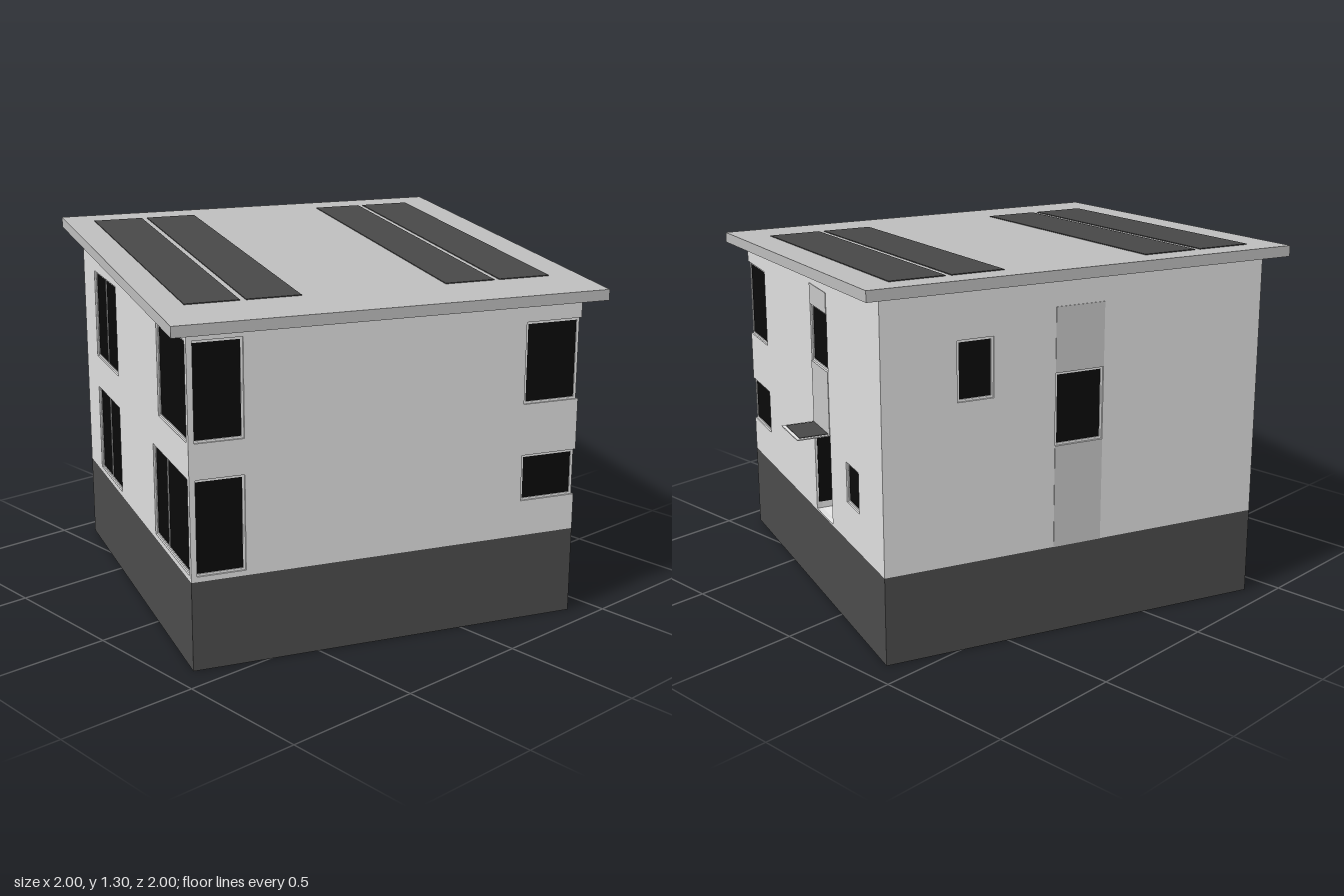
import * as THREE from 'three';

const mat = (name, color) => Object.assign(new THREE.MeshStandardMaterial({ color }), { name });
const M = {
  wall: mat('wall plaster', 0xe0e0e0),
  strip: mat('accent strip', 0xc8c8c8),
  roof: mat('roof grey', 0xbebebe),
  base: mat('plinth grey', 0x4c4c4c),
  panel: mat('solar panel', 0x484848),
  glass: mat('window glass', 0x0a0a0a),
  frame: mat('window frame', 0xf8f8f8),
};
const H = 0.708;              // half width of the walls
const R = 0.773;              // half width of the roof
const SLOPE = 0.105 / (2 * R);
const BASE = 0.315;
const underside = z => 1.2075 - SLOPE * z;

function add(parent, name, geo, material, x = 0, y = 0, z = 0) {
  const m = new THREE.Mesh(geo, material);
  m.name = name;
  m.position.set(x, y, z);
  parent.add(m);
  return m;
}

// box given by its minimum and maximum corners
function box(parent, name, material, x0, x1, y0, y1, z0, z1) {
  return add(parent, name, new THREE.BoxGeometry(x1 - x0, y1 - y0, z1 - z0), material,
    (x0 + x1) / 2, (y0 + y1) / 2, (z0 + z1) / 2);
}

const points = list => list.map(([x, y]) => new THREE.Vector2(x, y));
const rect = ([a, b, c, d]) => points([[a, c], [b, c], [b, d], [a, d]]);

// slab that follows the roof pitch
function pitched(parent, name, material, x0, x1, z0, z1, lift, thick) {
  const g = new THREE.BoxGeometry(x1 - x0, thick, z1 - z0);
  g.translate((x0 + x1) / 2, lift + thick / 2, (z0 + z1) / 2);
  const p = g.attributes.position;
  for (let i = 0; i < p.count; i++) p.setY(i, p.getY(i) + underside(p.getZ(i)));
  g.computeVertexNormals();
  add(parent, name, g, material);
}

// recessed window: [u0, u1, y0, y1, optional mullion u]
function windowUnit(wall, w) {
  const [u0, u1, y0, y1, mullion] = w;
  const s = new THREE.Shape(rect(w));
  const t = 0.008;
  s.holes.push(new THREE.Path(rect([u0 + t, u1 - t, y0 + t, y1 - t])));
  const g = new THREE.ExtrudeGeometry(s, { depth: 0.01, bevelEnabled: false });
  add(wall, 'windowFrame', g, M.frame, 0, 0, -0.016);
  box(wall, 'windowGlass', M.glass, u0 + t, u1 - t, y0 + t, y1 - t, -0.016, -0.009);
  if (mullion !== undefined) {
    box(wall, 'windowMullion', M.frame, mullion - 0.004, mullion + 0.004, y0 + t, y1 - t, -0.012, -0.006);
  }
}

// one wall: u runs to the right as seen from outside, z points outward
function makeWall(house, name, angle, topL, topR, { windows = [], holes = [], corner = [], side = 1 }) {
  const wall = new THREE.Group();
  wall.name = name;
  wall.rotation.y = angle;
  wall.position.set(Math.sin(angle) * H, 0, Math.cos(angle) * H);
  house.add(wall);

  // outline, with notches where windows wrap around a corner
  const right = [[H, BASE]], left = [[-H, topL]];
  for (const [w, y0, y1] of corner) {
    if (side > 0) right.push([H, y0], [H - w, y0], [H - w, y1], [H, y1]);
    else left.splice(1, 0, [-H, y1], [w - H, y1], [w - H, y0], [-H, y0]);
  }
  right.push([H, topR]);
  left.push([-H, BASE]);
  const shape = new THREE.Shape(points([...right, ...left]));
  for (const h of [...windows, ...holes]) shape.holes.push(new THREE.Path(rect(h)));
  add(wall, name + 'Panel', new THREE.ExtrudeGeometry(shape, { depth: 0.02, bevelEnabled: false }), M.wall, 0, 0, -0.02);

  windows.forEach(w => windowUnit(wall, w));
  for (const [w, y0, y1] of corner) {
    windowUnit(wall, side > 0 ? [H - w, H - 0.006, y0, y1] : [0.006 - H, w - H, y0, y1]);
  }
  return wall;
}

export function createModel() {
  const model = new THREE.Group();
  model.name = 'house';
  const house = new THREE.Group();
  house.name = 'houseBody';
  house.rotation.y = -0.371;
  model.add(house);

  box(house, 'plinth', M.base, -H, H, 0, BASE, -H, H);

  // roof and its solar panels
  pitched(house, 'roof', M.roof, -R, R, -R, R, 0, 0.038);
  for (const [a, b] of [[-0.667, -0.478], [-0.457, -0.264], [0.26, 0.445], [0.465, 0.658]]) {
    pitched(house, 'solarPanel', M.panel, a, b, -0.668, 0.556, 0.038, 0.003);
  }

  // walls
  const low = underside(H), high = underside(-H);
  const corner = [[0.212, 0.445, 0.612], [0.212, 0.797, 1.087]];
  makeWall(house, 'frontWall', 0, low, low, {
    corner, side: 1,
    windows: [[-0.696, -0.519, 0.333, 0.665], [-0.696, -0.519, 0.788, 1.125]],
  });
  const entry = makeWall(house, 'entranceWall', Math.PI / 2, low, high, {
    corner, side: -1,
    windows: [[0.04, 0.208, 0.88, 1.087], [0.366, 0.484, 0.46, 0.607]],
    holes: [[0.04, 0.208, 0.32, 0.65]],
  });
  const back = makeWall(house, 'backWall', Math.PI, high, high, {
    windows: [[-0.09, 0.09, 0.68, 0.935], [-0.445, -0.315, 0.88, 1.087]],
  });
  makeWall(house, 'gardenWall', -Math.PI / 2, high, low, {
    windows: [
      [-0.528, -0.2, 0.333, 0.665, -0.372], [-0.528, -0.2, 0.788, 1.125, -0.372],
      [0.274, 0.694, 0.333, 0.665, 0.43], [0.356, 0.694, 0.788, 1.125],
    ],
  });

  // accent strips above and below the stair and entrance windows
  for (const [y0, y1] of [[0.65, 0.88], [1.087, 1.16]]) box(entry, 'accentStrip', M.strip, 0.04, 0.208, y0, y1, -0.002, 0.002);
  for (const [y0, y1] of [[BASE, 0.68], [0.935, 1.16]]) box(back, 'accentStrip', M.strip, -0.09, 0.09, y0, y1, -0.002, 0.002);

  // recessed entrance
  const porch = new THREE.Group();
  porch.name = 'entrance';
  entry.add(porch);
  const d = -0.15;
  box(porch, 'doorFrame', M.frame, 0.03, 0.218, 0.316, 0.655, d - 0.01, d);
  box(porch, 'doorGlass', M.glass, 0.06, 0.19, 0.345, 0.635, d, d + 0.003);
  box(porch, 'doorHandle', M.frame, 0.114, 0.118, 0.37, 0.59, d + 0.003, d + 0.007);
  box(porch, 'entranceCeiling', M.frame, 0.03, 0.218, 0.65, 0.655, d, -0.001);
  box(porch, 'entranceFloor', M.frame, 0.03, 0.218, 0.316, 0.32, d, -0.001);
  box(porch, 'leftJamb', M.frame, 0.035, 0.04, 0.316, 0.655, d, -0.001);
  box(porch, 'rightJamb', M.frame, 0.208, 0.213, 0.316, 0.655, d, -0.001);
  box(porch, 'leftSideGlass', M.glass, 0.04, 0.042, 0.345, 0.635, d + 0.005, -0.008);
  box(porch, 'rightSideGlass', M.glass, 0.206, 0.208, 0.36, 0.59, -0.115, -0.037);

  // flat canopy over the entrance
  box(porch, 'canopyFrame', M.frame, 0.038, 0.212, 0.65, 0.654, 0, 0.12);
  box(porch, 'canopyTop', M.panel, 0.05, 0.2, 0.654, 0.656, 0.004, 0.108);
  box(porch, 'canopySoffit', M.panel, 0.05, 0.2, 0.648, 0.65, 0.004, 0.108);

  return model;
}
